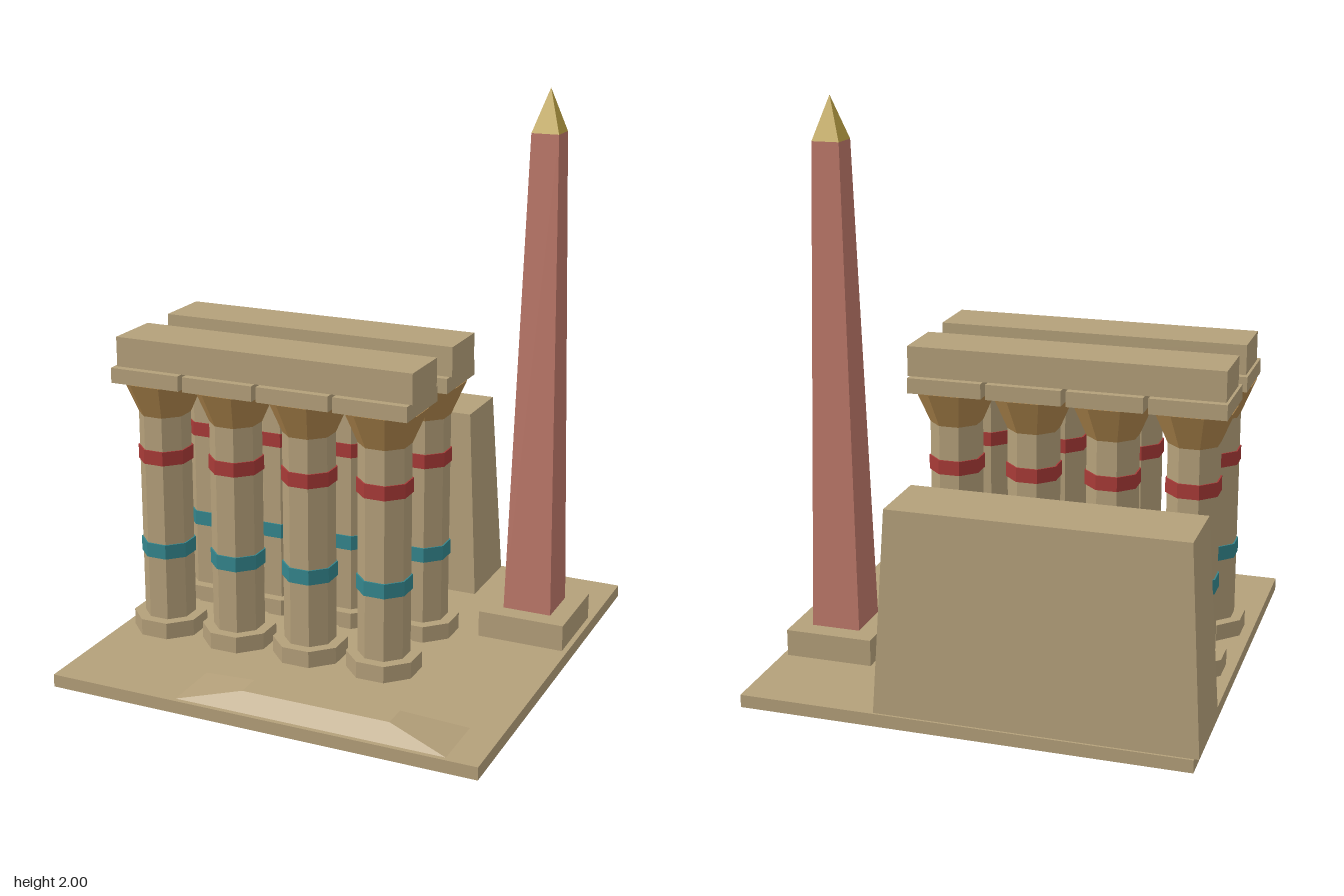
import * as THREE from 'three';

const mat = (name, color) => {
  const m = new THREE.MeshStandardMaterial({ color });
  m.name = name;
  return m;
};

export function createModel() {
  const stone = mat('sandstone', 0xb4a07a);
  stone.side = THREE.DoubleSide;
  const granite = mat('red granite', 0xbd7869);
  const gold = mat('gold', 0xc2a648);
  const ochre = mat('ochre', 0xb0874d);
  const red = mat('painted red', 0xa83a37);
  const teal = mat('painted teal', 0x34868d);

  const root = new THREE.Group();
  root.name = 'templeRuin';

  function add(parent, name, geometry, material, x, y, z) {
    const mesh = new THREE.Mesh(geometry, material);
    mesh.name = name;
    mesh.position.set(x, y, z);
    parent.add(mesh);
    return mesh;
  }

  // Block standing on y0, with its top face shrunk to topW x topD
  function block(parent, name, material, x, z, y0, y1, w, d, topW = w, topD = d) {
    const g = new THREE.BoxGeometry(w, y1 - y0, d);
    const p = g.attributes.position;
    for (let i = 0; i < p.count; i++) {
      if (p.getY(i) > 0) {
        p.setX(i, p.getX(i) * topW / w);
        p.setZ(i, p.getZ(i) * topD / d);
      }
    }
    g.computeVertexNormals();
    return add(parent, name, g, material, x, (y0 + y1) / 2, z);
  }

  // Faceted prism; radii are measured to the flat sides, one of which faces front
  function prism(parent, name, material, x, z, y0, y1, bottom, top, sides = 8, open = false) {
    const k = 1 / Math.cos(Math.PI / sides);
    const g = new THREE.CylinderGeometry(top * k, bottom * k, y1 - y0, sides, 1, open)
      .rotateY(Math.PI / sides).toNonIndexed();
    g.computeVertexNormals();
    return add(parent, name, g, material, x, (y0 + y1) / 2, z);
  }

  // Ground slab, hollow underneath, and low sand drift
  block(root, 'groundSlab', stone, 0.008, 0, 0.03, 0.045, 1.55, 1.55);
  prism(root, 'slabRim', stone, 0.008, 0, 0, 0.03, 0.775, 0.775, 4, true);
  block(root, 'sandDrift', stone, 0.187, 0.652, 0.045, 0.09, 0.966, 0.213, 0.53, 0.087);

  // Battered rear wall with two painted stripes standing just clear of its front
  const wall = new THREE.Group();
  wall.name = 'rearWall';
  root.add(wall);
  block(wall, 'wallBody', stone, -0.238, -0.618, 0.045, 0.75, 1.09, 0.299, 1.005, 0.247);
  add(wall, 'redStripe', new THREE.PlaneGeometry(0.88, 0.085), red, -0.255, 0.575, -0.466);
  add(wall, 'tealStripe', new THREE.PlaneGeometry(0.82, 0.052), teal, -0.245, 0.38, -0.466);

  // Two rows of four columns, each row carrying a beam
  for (const z of [0.247, -0.106]) {
    const row = new THREE.Group();
    row.name = z > 0 ? 'frontColonnade' : 'rearColonnade';
    root.add(row);
    for (let i = 0; i < 4; i++) {
      const column = new THREE.Group();
      column.name = 'column';
      column.position.set(-0.608 + i * 0.2823, 0, z);
      row.add(column);
      prism(column, 'columnBase', stone, 0, 0, 0.045, 0.105, 0.122, 0.122);
      prism(column, 'shaft', stone, 0, 0, 0.105, 0.863, 0.085, 0.085);
      prism(column, 'tealBand', teal, 0, 0, 0.338, 0.391, 0.09, 0.09);
      prism(column, 'redBand', red, 0, 0, 0.689, 0.74, 0.09, 0.09);
      prism(column, 'capital', ochre, 0, 0, 0.863, 0.986, 0.085, 0.135);
      block(column, 'abacus', stone, 0, 0, 0.986, 1.04, 0.265, 0.265);
    }
    block(row, 'beam', stone, -0.176, z, 1.04, 1.146, 1.11, 0.211);
  }

  // Obelisk on a square plinth
  const obelisk = new THREE.Group();
  obelisk.name = 'obelisk';
  obelisk.position.set(0.607, 0, -0.281);
  root.add(obelisk);
  block(obelisk, 'plinth', stone, 0, 0, 0.045, 0.14, 0.314, 0.314);
  block(obelisk, 'obeliskShaft', granite, 0, 0, 0.14, 1.851, 0.176, 0.176, 0.097, 0.097);
  prism(obelisk, 'goldTip', gold, 0, 0, 1.851, 2, 0.0485, 0, 4);

  return root;
}
